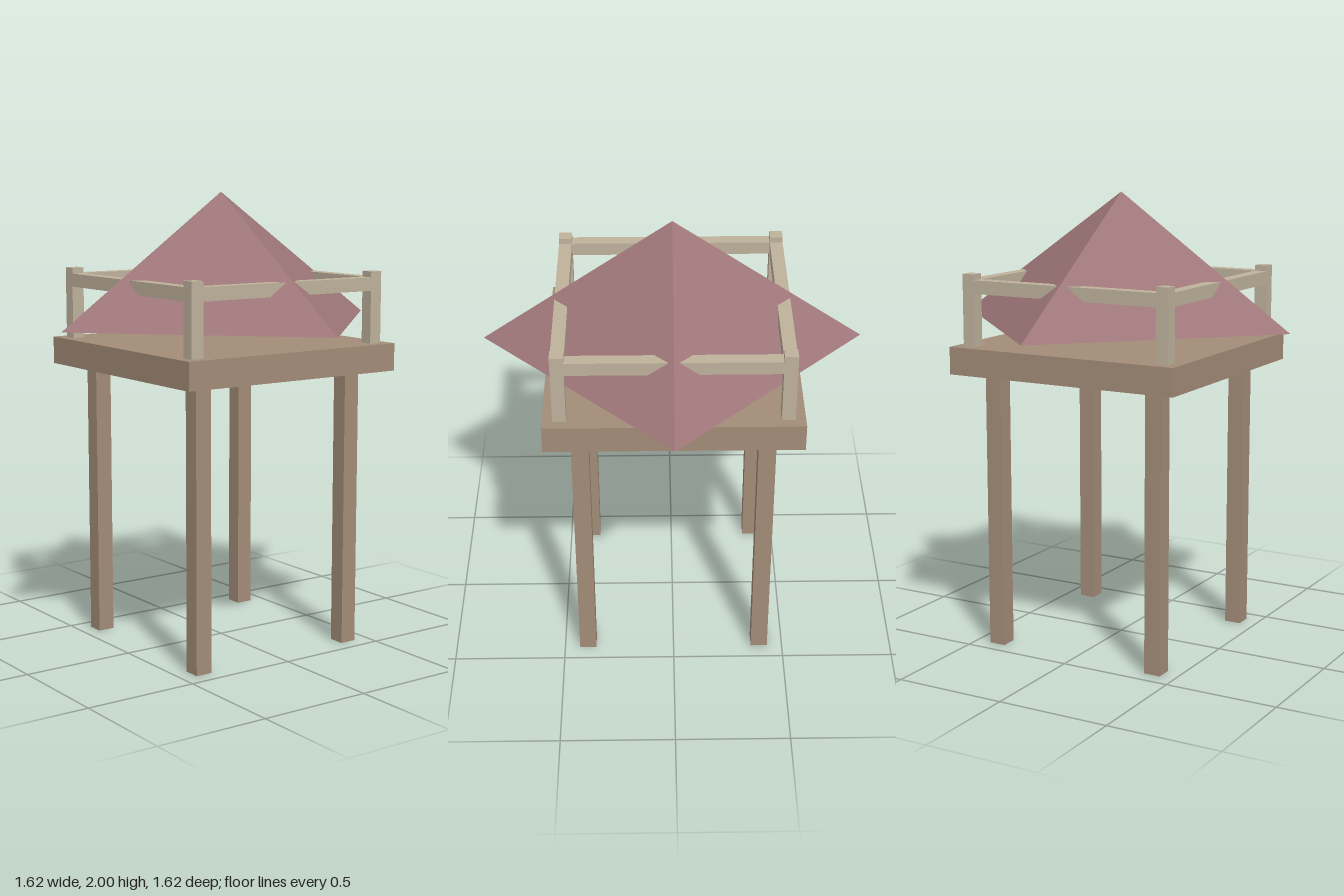
import * as THREE from 'three';

const material = (name, color) => {
  const m = new THREE.MeshStandardMaterial({ color });
  m.name = name;
  return m;
};

export function createModel() {
  const wood = material('brown wood', 0xa38c78);
  const paleWood = material('pale wood', 0xbfb29c);
  const roofPaint = material('dusty rose roof', 0x9d7678);

  const model = new THREE.Group();
  model.name = 'tower';

  // Box centred on x and z, standing on the height y0 and reaching y1
  const box = (name, mat, w, d, y0, y1, x = 0, z = 0) => {
    const mesh = new THREE.Mesh(new THREE.BoxGeometry(w, y1 - y0, d), mat);
    mesh.name = name;
    mesh.position.set(x, (y0 + y1) / 2, z);
    model.add(mesh);
  };

  box('platform', wood, 1.083, 1.083, 1.23, 1.35);

  // Legs below and railing posts above, at each corner
  for (const sx of [-1, 1]) {
    for (const sz of [-1, 1]) {
      box('leg', wood, 0.075, 0.075, 0, 1.23, sx * 0.394, sz * 0.394);
      box('post', paleWood, 0.057, 0.057, 1.35, 1.663, sx * 0.469, sz * 0.469);
    }
  }

  // Rails run from post to post, passing through the roof
  for (const s of [-1, 1]) {
    box('rail', paleWood, 0.881, 0.057, 1.58, 1.638, 0, s * 0.469);
    box('rail', paleWood, 0.057, 0.881, 1.58, 1.638, s * 0.469, 0);
  }

  // Four-sided roof turned with its corners to the front, back and sides
  const roofGeometry = new THREE.ConeGeometry(0.81, 0.565, 4).toNonIndexed();
  roofGeometry.computeVertexNormals();
  const roof = new THREE.Mesh(roofGeometry, roofPaint);
  roof.name = 'roof';
  roof.position.y = 2 - 0.565 / 2;
  model.add(roof);

  return model;
}
